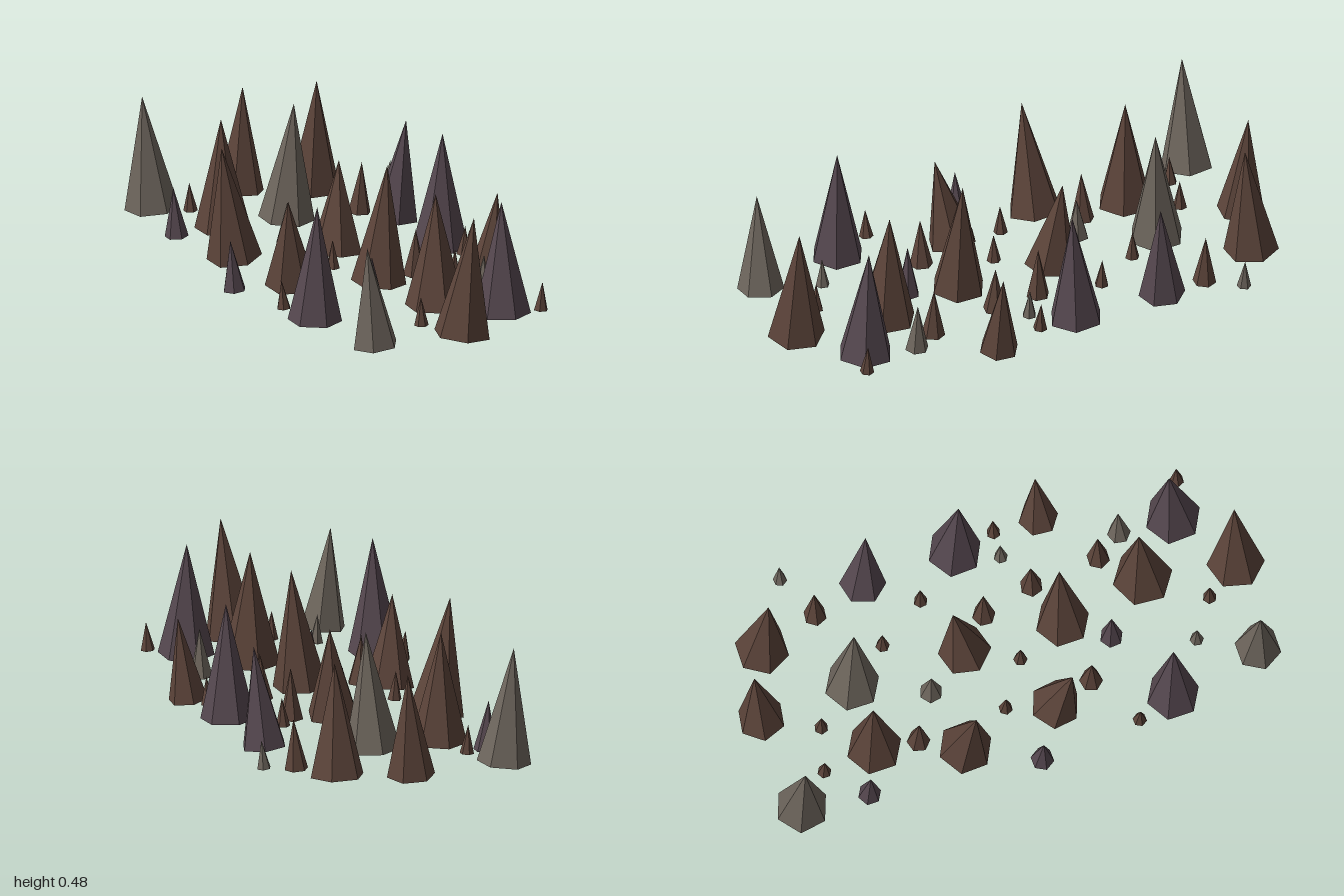
import * as THREE from 'three';

const stone = (color) => new THREE.MeshStandardMaterial({ color, flatShading: true });

export function createModel() {
  const group = new THREE.Group();
  const mats = { b: stone(0x5c443a), p: stone(0x564850), g: stone(0x6e665d) };
  const up = new THREE.Vector3(0, 1, 0);

  // Six-sided spike whose axis runs from the base centre to the tip
  function spike(name, mat, base, tip, radius, turn) {
    const axis = tip.clone().sub(base);
    const length = axis.length();
    const geo = new THREE.ConeGeometry(radius, length, 6);
    geo.rotateY(THREE.MathUtils.degToRad(turn));
    geo.translate(0, length / 2, 0);
    const mesh = new THREE.Mesh(geo, mats[mat]);
    mesh.quaternion.setFromUnitVectors(up, axis.normalize());
    mesh.position.copy(base);
    mesh.name = name;
    group.add(mesh);
  }

  // Tall stalagmites: stone, base x, base z, radius, tip x, tip y, tip z, turn
  const tall = [
    ['g', -0.367, -0.89, 0.098, -0.405, 0.47, -0.89, 9],
    ['b', 0, -0.915, 0.088, 0.02, 0.43, -0.935, 20],
    ['b', 0.25, -0.825, 0.1, 0.25, 0.46, -0.8, 28],
    ['b', -0.24, -0.57, 0.102, -0.245, 0.455, -0.575, 0],
    ['g', 0.013, -0.565, 0.102, 0.035, 0.48, -0.55, 0],
    ['p', 0.368, -0.4, 0.085, 0.4, 0.415, -0.378, -18],
    ['b', -0.347, -0.26, 0.1, -0.408, 0.47, -0.24, 3],
    ['b', 0.003, -0.14, 0.097, 0.03, 0.38, -0.175, -15],
    ['p', 0.373, -0.048, 0.1, 0.375, 0.472, -0.032, 3],
    ['b', -0.3, 0.098, 0.092, -0.335, 0.375, 0.152, 10],
    ['b', -0.01, 0.228, 0.1, 0.025, 0.483, 0.228, 0],
    ['b', 0.4, 0.28, 0.073, 0.44, 0.333, 0.282, -5],
    ['p', -0.405, 0.51, 0.098, -0.398, 0.473, 0.515, 0],
    ['b', 0.055, 0.556, 0.11, 0.062, 0.463, 0.545, -5],
    ['p', 0.235, 0.735, 0.103, 0.238, 0.46, 0.722, 2],
    ['g', -0.336, 0.858, 0.085, -0.367, 0.415, 0.858, 30],
    ['b', -0.003, 0.89, 0.105, 0.04, 0.483, 0.9, -15],
  ];
  tall.forEach(([m, x, z, r, tx, ty, tz, turn], i) => {
    const y = r < 0.08 ? 0.025 : 0.045;
    spike(`tallStalagmite${i + 1}`, m, new THREE.Vector3(x, y, z), new THREE.Vector3(tx, ty, tz), r, turn);
  });

  // Medium stalagmites: stone, x, z, base height
  const medium = [
    ['p', -0.39, -0.64, 0.015], ['b', 0.32, -0.598, 0.012], ['b', -0.257, -0.407, 0.015],
    ['g', -0.108, -0.307, 0.05], ['p', -0.47, -0.01, 0.013], ['b', 0.12, -0.026, 0.01],
    ['b', 0.162, 0.17, 0.03], ['b', -0.246, 0.254, 0.02], ['p', -0.108, 0.38, 0.006],
    ['b', 0.188, 0.434, 0.015], ['g', 0.252, 0.535, 0.02],
  ];
  medium.forEach(([m, x, z, y], i) => {
    spike(`mediumStalagmite${i + 1}`, m, new THREE.Vector3(x, y, z),
      new THREE.Vector3(x * 1.035, 0.2, z), 0.043, (i * 23) % 60);
  });

  // Small stalagmites: stone, x, z
  const small = [
    ['b', -0.27, -0.77], ['b', -0.108, -0.725], ['g', 0.475, -0.677], ['b', 0.115, -0.413],
    ['b', 0.23, -0.228], ['b', -0.257, -0.075], ['b', -0.098, 0.037], ['g', 0.294, 0.1],
    ['b', 0.39, 0.106], ['b', -0.458, 0.365], ['g', -0.236, 0.66], ['b', -0.1, 0.757],
    ['b', 0.36, 0.794],
  ];
  small.forEach(([m, x, z], i) => {
    spike(`smallStalagmite${i + 1}`, m, new THREE.Vector3(x, 0.055, z),
      new THREE.Vector3(x * 1.02, 0.16, z), 0.026, (i * 17) % 60);
  });

  return group;
}
